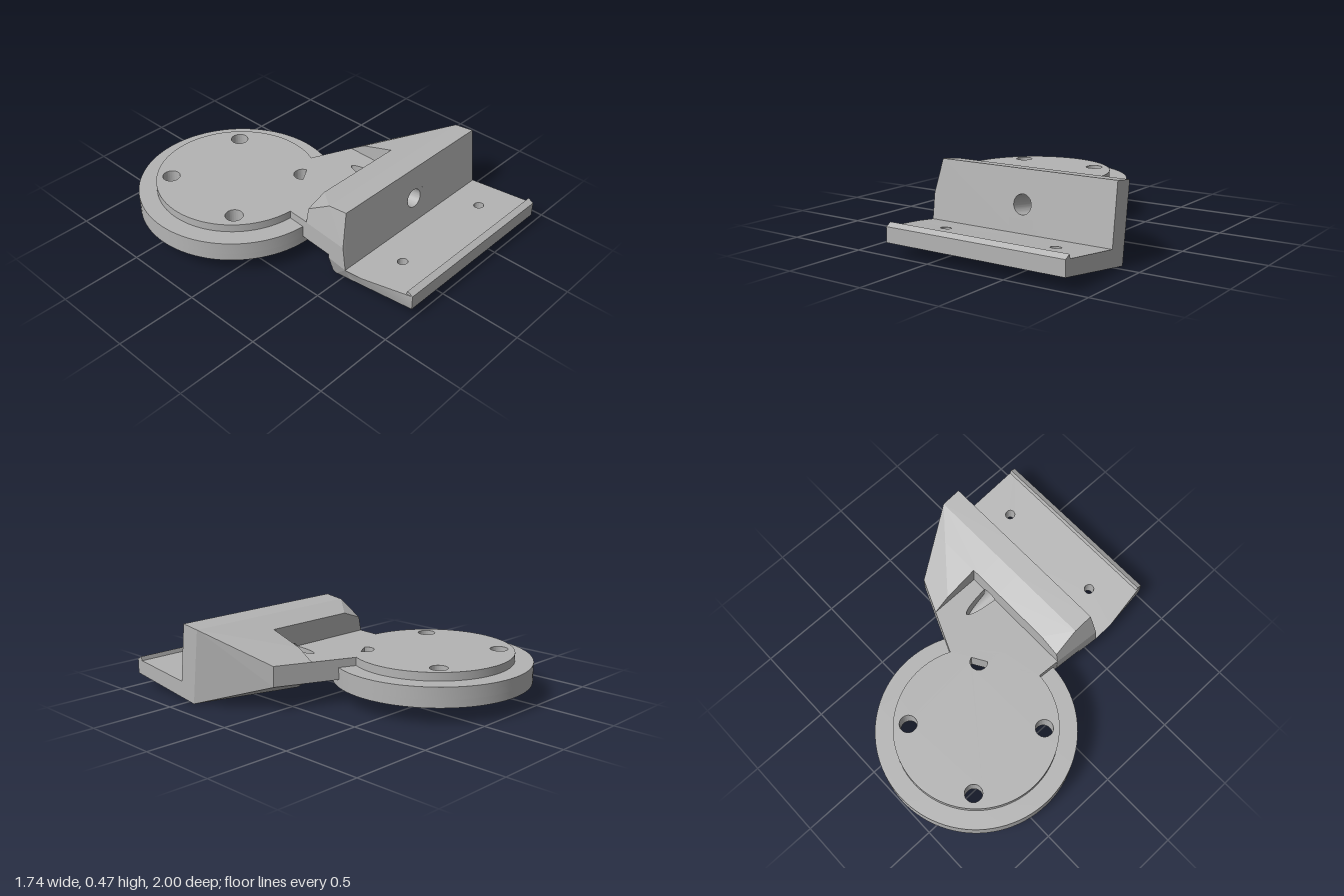
import * as THREE from 'three';
import { toCreasedNormals } from 'three/addons/utils/BufferGeometryUtils.js';
import { ConvexGeometry } from 'three/addons/geometries/ConvexGeometry.js';

const V = (x, y, z) => new THREE.Vector3(x, y, z);
const FLOOR = 0.27, UNDER = 0.147;            // top and underside of the tongue
const DISC = { x: -0.27, z: -0.4 };
const BORE = { x: 0.29, r: 0.058, half: 0.08 };
const SLOPE = 0.127;                          // lean of the front face and of the bore
const boreY = (z) => 0.275 + SLOPE * (z - 0.535);

// Keeps the part of a convex point set where normal . p >= d
function clip(points, normal, d) {
  const dist = points.map((p) => normal.dot(p) - d);
  const out = points.filter((p, i) => dist[i] >= -1e-7);
  for (let i = 0; i < points.length; i++) {
    for (let j = 0; j < points.length; j++) {
      if (dist[i] > 1e-7 && dist[j] < -1e-7) {
        out.push(points[i].clone().lerp(points[j], dist[i] / (dist[i] - dist[j])));
      }
    }
  }
  return out.length < 4 ? [] : corners(new ConvexGeometry(out));
}

// Unique corner points of a geometry
function corners(geometry) {
  const pos = geometry.attributes.position, map = new Map();
  for (let i = 0; i < pos.count; i++) {
    const p = V().fromBufferAttribute(pos, i);
    map.set(p.toArray().map((c) => Math.round(c * 1e5)).join(), p);
  }
  return [...map.values()];
}

const clipAll = (points, planes) =>
  planes.reduce((pts, [x, y, z, d]) => (pts.length < 4 ? [] : clip(pts, V(x, y, z), d)), points);

// Horizontal slab from a shape drawn in x and z
function slab(shape, y0, y1) {
  const g = new THREE.ExtrudeGeometry(shape, { depth: y1 - y0, bevelEnabled: false, curveSegments: 48 });
  return g.rotateX(Math.PI / 2).translate(0, y1, 0);
}

function circle(x, z, r, type = THREE.Shape) {
  const s = new type();
  s.absarc(x, z, r, 0, Math.PI * 2, false);
  return s;
}

const polygon = (pts) => new THREE.Shape(pts.map(([x, z]) => new THREE.Vector2(x, z)));

// Moves every vertex by a rule
function reshape(geometry, rule) {
  const pos = geometry.attributes.position, p = V();
  for (let i = 0; i < pos.count; i++) {
    rule(p.fromBufferAttribute(pos, i));
    pos.setXYZ(i, p.x, p.y, p.z);
  }
  geometry.computeVertexNormals();
  return geometry;
}

export function createModel() {
  const model = new THREE.Group();
  model.name = 'mountingBracket';
  const grey = new THREE.MeshStandardMaterial({ color: 0xb4b4b4 });
  grey.name = 'plain grey';

  const add = (name, geometry, parent = model) => {
    const mesh = new THREE.Mesh(geometry, grey);
    mesh.name = name;
    parent.add(mesh);
  };
  const smooth = (g) => toCreasedNormals(g, 0.5);

  // Round flange: hollow rim, main disc and raised face with four bolt holes
  const flange = new THREE.Group();
  flange.name = 'flange';
  model.add(flange);
  const rim = circle(DISC.x, DISC.z, 0.6);
  rim.holes.push(circle(DISC.x, DISC.z, 0.525, THREE.Path));
  add('flangeRim', smooth(slab(rim, 0.1, UNDER)), flange);
  for (const [name, r, y0, y1] of [['flangeDisc', 0.6, UNDER, 0.22], ['raisedFace', 0.49, 0.22, FLOOR]]) {
    const s = circle(DISC.x, DISC.z, r);
    for (const sx of [-1, 1]) for (const sz of [-1, 1]) {
      s.holes.push(circle(DISC.x + sx * 0.283, DISC.z + sz * 0.283, 0.053, THREE.Path));
    }
    add(name, smooth(slab(s, y0, y1)), flange);
  }

  // Wedge body that tapers back to the flange
  const hull = [];
  for (const x of [-0.285, 0.87]) {
    hull.push(V(x, 0.47, 0.51), V(x, 0.455, 0.385), V(x, 0, 0.445), V(x, 0.015, 0.555));
  }
  hull.push(V(0.87, 0.115, 0.555), V(-0.333, 0.115, 0.555), V(-0.333, 0.265, 0.535));
  for (const [x, z] of [[-0.3, 0.09], [0.18, -0.2], [0.64, 0]]) {
    hull.push(V(x, UNDER, z), V(x, FLOOR, z));
  }
  const body = new THREE.Group();
  body.name = 'wedgeBody';
  model.add(body);
  const piece = (name, planes) => {
    const pts = clipAll(hull, planes);
    if (pts.length > 3) add(name, new ConvexGeometry(pts), body);
  };

  // Upper body around the pocket, leaving a square channel for the bore
  const above = [0, 1, 0, UNDER], front = [0, 0, 1, 0.23];
  const x0 = BORE.x - BORE.half, x1 = BORE.x + BORE.half;
  const channel = [above, front, [1, 0, 0, x0], [-1, 0, 0, -x1]];
  piece('wallRight', [above, front, [-1, 0, 0, -x0]]);
  piece('wallLeft', [above, front, [1, 0, 0, x1]]);
  piece('wallOverBore', [...channel, [0, 1, -SLOPE, boreY(0) + BORE.half]]);
  piece('wallUnderBore', [...channel, [0, -1, SLOPE, BORE.half - boreY(0)]]);
  piece('pocketSide', [above, [0, 0, -1, -0.23], [1, 0, 0, 0.43]]);

  // Lower body, hollowed by a round clearance about the flange
  const steps = 20, a0 = 0.3, da = (1.76 - a0) / steps;
  const radial = (a, sign, r = 0) => {
    const nx = sign * Math.cos(a), nz = sign * Math.sin(a);
    return [nx, 0, nz, nx * DISC.x + nz * DISC.z + r];
  };
  for (let i = 0; i < steps; i++) {
    const a = a0 + i * da;
    piece('lowerBody', [
      [0, -1, 0, -UNDER],
      radial(a + Math.PI / 2, 1),
      radial(a + da + Math.PI / 2, -1),
      radial(a + da / 2, 1, 0.82 * Math.cos(da / 2)),
    ]);
  }

  // Tilted bore through the wall
  const h = BORE.half;
  const square = polygon([[-h, -h], [h, -h], [h, h], [-h, h]]);
  square.holes.push(circle(0, 0, BORE.r, THREE.Path));
  const bore = new THREE.ExtrudeGeometry(square, { depth: 1, bevelEnabled: false, curveSegments: 32 });
  add('boreBlock', smooth(reshape(bore, (p) => {
    p.z = p.z > 0.5 ? (0.5433 - SLOPE * p.y) / (1 + SLOPE * SLOPE) : 0.23;
    p.y += boreY(p.z);
    p.x += BORE.x;
  })), body);

  // Tongue forming the pocket floor, notched where the bore runs out
  const zEnd = 0.535 + (FLOOR - BORE.r - 0.275) / SLOPE;
  const halfWidth = (z) => Math.sqrt(Math.max(0, BORE.r ** 2 - (FLOOR - boreY(z)) ** 2));
  const notch = [];
  for (let i = -12; i <= 12; i++) {
    const z = zEnd + (0.23 - zEnd) * (i / 12) ** 2;
    notch.push([BORE.x - Math.sign(i) * halfWidth(z), z]);
  }
  const outline = [[-0.309, 0.23], [-0.3, 0.09], [0.18, -0.2], [0.43, -0.091], [0.43, 0.23]];
  add('tongue', slab(polygon([...outline, ...notch]), 0.15, FLOOR), body);
  add('tongueUnderside', slab(polygon(outline), UNDER, 0.15), body);
  const groove = new THREE.PlaneGeometry(2, 1, 12, 16).rotateX(-Math.PI / 2);
  add('boreGroove', reshape(groove, (p) => {
    const z = zEnd + (0.23 - zEnd) * (p.z + 0.5);
    const dx = p.x * halfWidth(z);
    p.set(BORE.x + dx, boreY(z) - Math.sqrt(BORE.r ** 2 - dx * dx), z);
  }), body);

  // Sloping base plate with two screw holes
  const base = polygon([[-0.285, 0.445], [-0.333, 0.555], [-0.333, 0.68], [-0.285, 1], [0.87, 1], [0.87, 0.445]]);
  for (const x of [-0.07, 0.655]) base.holes.push(circle(x, 0.755, 0.03, THREE.Path));
  add('basePlate', smooth(reshape(slab(base, 0, 1), (p) => {
    if (p.y > 0.5) p.y = 0.115 + (p.z - 0.555) * 0.112;
    else {
      p.y = (p.z - 0.445) * 0.135;
      p.x = Math.max(p.x, -0.285);
    }
  })));

  // Small lip along the front edge
  const lip = [];
  for (const x of [-0.285, 0.87]) {
    lip.push(V(x, 0.155, 0.955), V(x, 0.185, 0.965), V(x, 0.165, 1), V(x, 0.15, 1));
  }
  add('frontLip', new ConvexGeometry(lip));

  return model;
}
